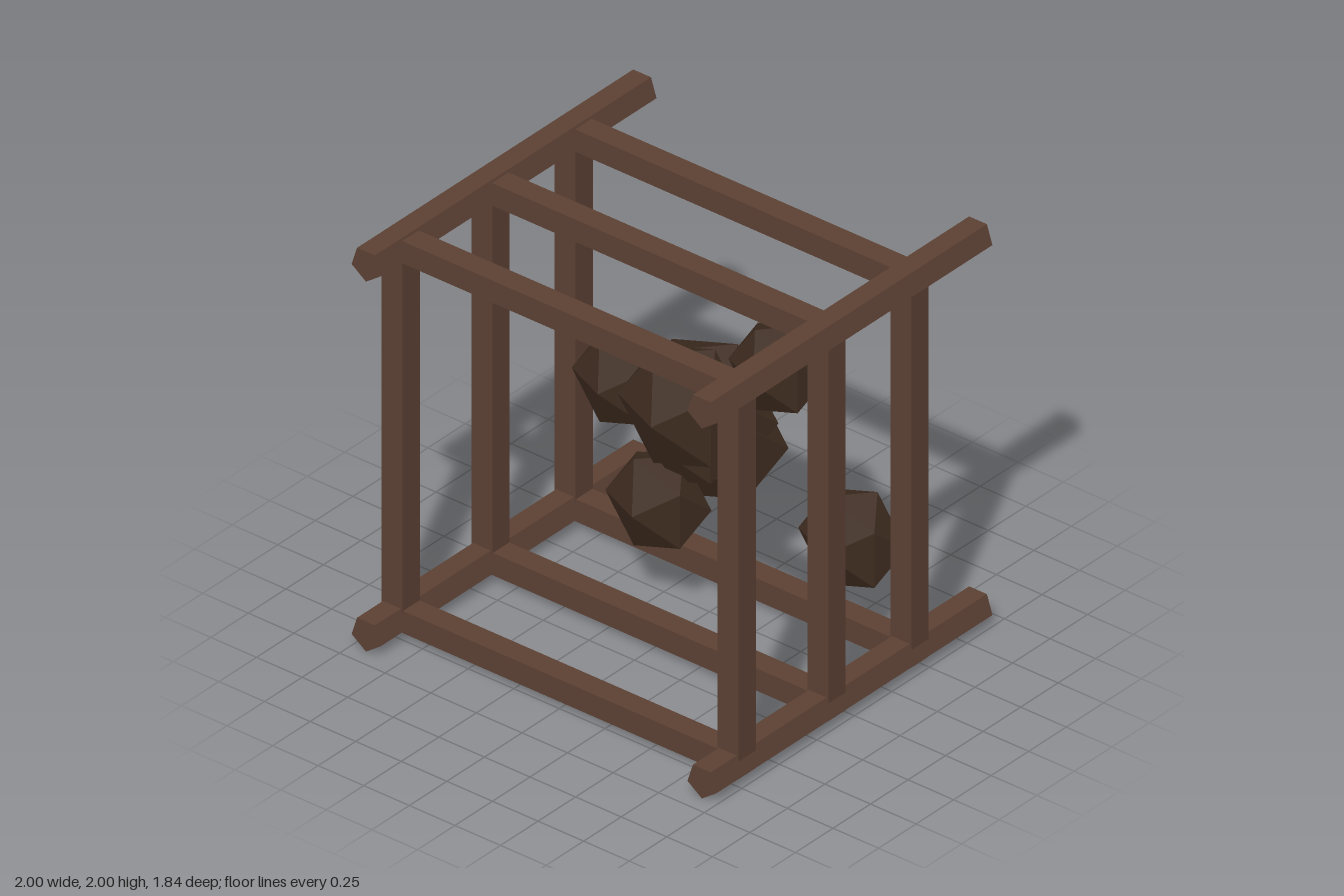
import * as THREE from 'three';

const wood = new THREE.MeshStandardMaterial({ color: 0x5c4033, flatShading: true });
const stone = new THREE.MeshStandardMaterial({ color: 0x3d2b1f, flatShading: true });

const RAIL_X = 0.921, LOW_Y = 0.083, HIGH_Y = 1.932;
const FRAME_Z = [0.688, 0.09, -0.464];

function add(parent, name, geometry, material, x, y, z) {
  const mesh = new THREE.Mesh(geometry, material);
  mesh.name = name;
  mesh.position.set(x, y, z);
  parent.add(mesh);
  return mesh;
}

// Five-sided beams running front to back, one edge pointing down
function buildRails(parent) {
  const geo = new THREE.CylinderGeometry(0.083, 0.083, 1.84, 5).rotateX(Math.PI / 2);
  for (const side of [-1, 1]) {
    add(parent, 'lowerRail', geo, wood, side * RAIL_X, LOW_Y, 0);
    add(parent, 'upperRail', geo, wood, side * RAIL_X, HIGH_Y, 0);
  }
}

// Square hoops: two posts and two crossbars each
function buildHoops(parent) {
  const post = new THREE.BoxGeometry(0.115, 1.925, 0.115);
  const bar = new THREE.BoxGeometry(2 * RAIL_X, 0.111, 0.111);
  for (const z of FRAME_Z) {
    const hoop = new THREE.Group();
    hoop.name = 'hoop';
    for (const side of [-1, 1]) add(hoop, 'post', post, wood, side * RAIL_X, 0.9975, z);
    add(hoop, 'lowerCrossbar', bar, wood, 0, LOW_Y + 0.002, z);
    add(hoop, 'upperCrossbar', bar, wood, 0, HIGH_Y, z);
    parent.add(hoop);
  }
}

// Twenty-sided boulders, a corner facing forward, flattened front to back
function buildBoulders(parent) {
  const phi = (1 + Math.sqrt(5)) / 2;
  const geo = new THREE.IcosahedronGeometry(1, 0)
    .rotateX(Math.atan(1 / phi))
    .rotateZ(-Math.PI / 2)
    .scale(1, 1, 0.7);
  // x, y, z, radius of the outline seen from the front
  const boulders = [
    [-0.04, 1.07, -0.13, 0.284],
    [-0.514, 0.94, -0.302, 0.221],
    [0.235, 1.23, -0.419, 0.21],
    [-0.19, 0.535, -0.14, 0.226],
    [0.53, 0.43, -0.558, 0.231],
    [-0.13, 0.73, -0.465, 0.3],
    [-0.17, 0.87, -0.41, 0.323],
    [-0.1, 0.84, -0.24, 0.22],
  ];
  for (const [x, y, z, r] of boulders) {
    add(parent, 'boulder', geo, stone, x, y, z).scale.setScalar(r / 0.8944);
  }
}

export function createModel() {
  const model = new THREE.Group();
  model.name = 'timberFrameWithBoulders';
  const frame = new THREE.Group();
  frame.name = 'timberFrame';
  buildRails(frame);
  buildHoops(frame);
  const pile = new THREE.Group();
  pile.name = 'boulderCluster';
  buildBoulders(pile);
  model.add(frame, pile);
  return model;
}
